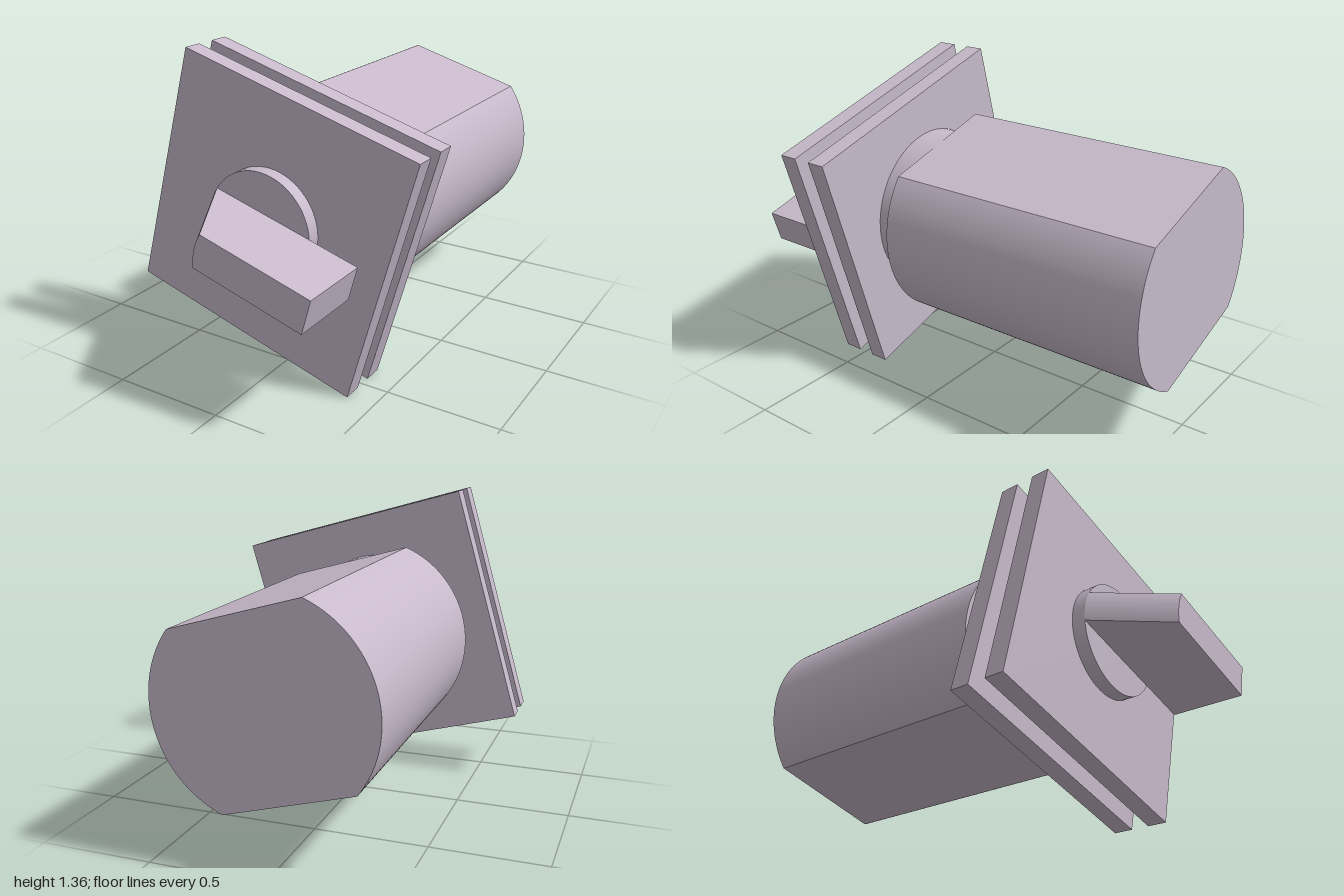
import * as THREE from 'three';
import { toCreasedNormals } from 'three/addons/utils/BufferGeometryUtils.js';

const material = new THREE.MeshStandardMaterial({ color: 0xc8bacb });

export function createModel() {
  const model = new THREE.Group();
  model.name = 'rimLock';

  // Everything shares one axis along z, rolled slightly about it
  const lock = new THREE.Group();
  lock.name = 'lockAssembly';
  lock.position.y = 0.686;
  lock.rotation.z = -THREE.MathUtils.degToRad(16.05);
  model.add(lock);

  const add = (name, geometry, z = 0) => {
    const mesh = new THREE.Mesh(geometry, material);
    mesh.name = name;
    mesh.position.z = z;
    lock.add(mesh);
    return mesh;
  };
  const disc = (name, radius, z0, z1) =>
    add(name, new THREE.CylinderGeometry(radius, radius, z1 - z0, 64).rotateX(Math.PI / 2), (z0 + z1) / 2);
  const plate = (name, z0, z1) =>
    add(name, new THREE.BoxGeometry(1.103, 1.103, z1 - z0), (z0 + z1) / 2);
  const extrude = (shape, depth) =>
    new THREE.ExtrudeGeometry(shape, { depth, bevelEnabled: false, curveSegments: 32 });

  // Round body with flats on top and bottom
  const bodyRadius = 0.461;
  const flat = Math.asin(0.366 / bodyRadius);
  const section = new THREE.Shape();
  section.absarc(0, 0, bodyRadius, -flat, flat, false);
  section.absarc(0, 0, bodyRadius, Math.PI - flat, Math.PI + flat, false);
  section.closePath();
  add('body', toCreasedNormals(extrude(section, 1.24), 0.4), -1);

  // Collar, mounting plates, spindle and hub
  disc('collar', 0.365, 0.24, 0.37);
  plate('backPlate', 0.37, 0.455);
  disc('spindle', 0.06, 0.455, 0.535);
  plate('frontPlate', 0.535, 0.62);
  disc('hub', 0.244, 0.62, 0.68);

  // Latch bolt: one end follows the hub rim and slopes back towards the tip
  const half = 0.076;
  const a = Math.asin(half / 0.244);
  const boltShape = new THREE.Shape();
  boltShape.moveTo(0.459, -half);
  boltShape.lineTo(0.459, half);
  boltShape.absarc(0, 0, 0.244, Math.PI - a, Math.PI + a, false);
  boltShape.closePath();
  const bolt = extrude(boltShape, 0.32);
  const p = bolt.attributes.position;
  for (let i = 0; i < p.count; i++) {
    if (p.getX(i) < 0 && p.getZ(i) > 0.1) p.setX(i, p.getX(i) + 0.18);
  }
  add('latchBolt', toCreasedNormals(bolt, 0.4), 0.68);

  return model;
}
